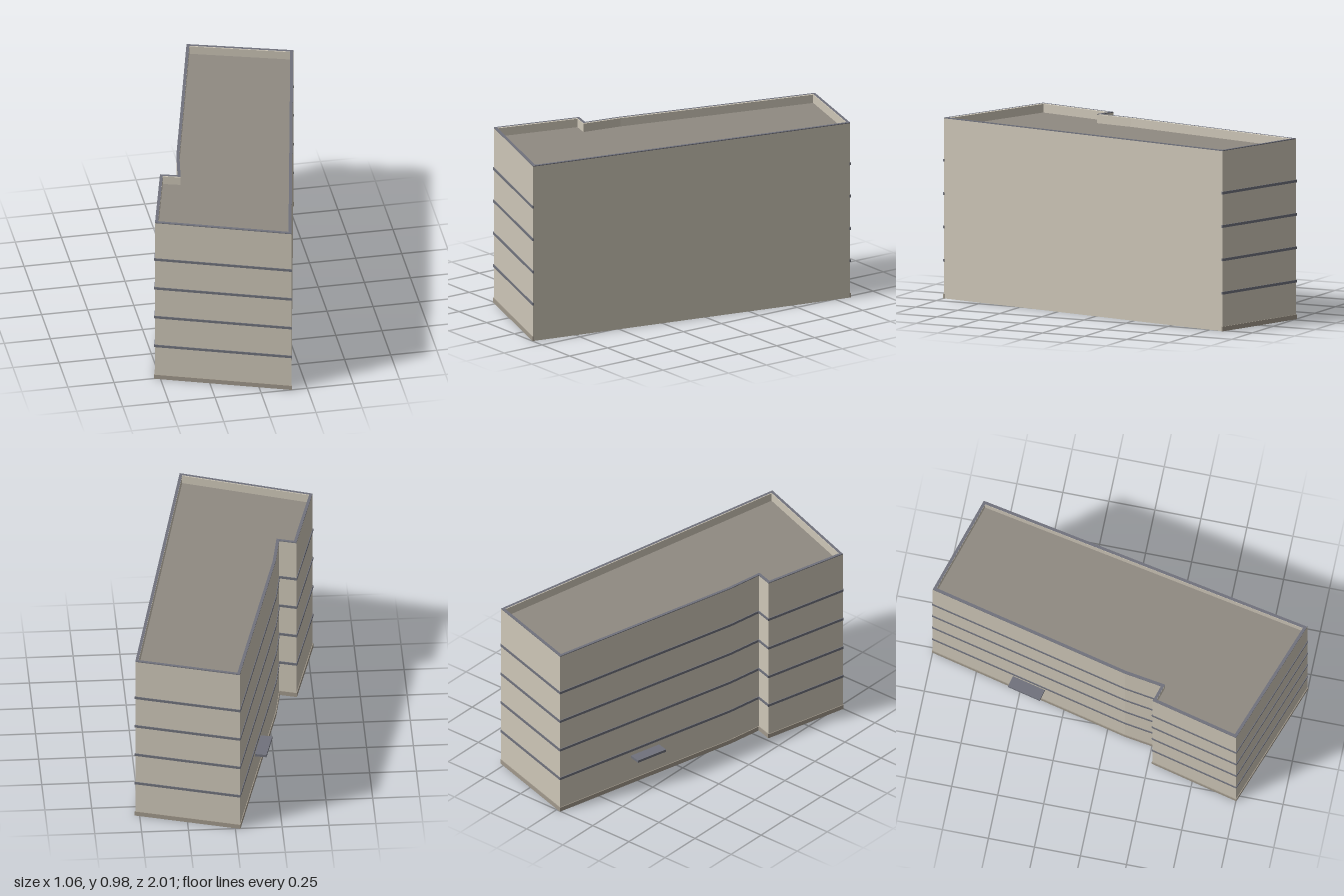
import * as THREE from 'three';

const material = (name, color, side = THREE.FrontSide) => {
  const m = new THREE.MeshStandardMaterial({ color, side });
  m.name = name;
  return m;
};

// Footprint corners as [x, z]; edge 1 is the blank party wall, edge 6 holds the entrance
const FOOTPRINT = [
  [-0.024, -1], [0.523, -0.833], [0.165, 0.997], [-0.528, 0.75],
  [-0.41, 0.273], [-0.32, 0.3], [-0.288, 0.098],
];
const PARTY_EDGE = 1, ENTRANCE_EDGE = 6;
const ROOF_Y = 0.925, TOP_Y = 0.975, FLOOR = 0.18, PLINTH = 0.025;

// Move every edge of the outline inwards and intersect neighbouring edges
function inset(points, amount) {
  const n = points.length;
  const normal = (a, b) => {
    const dx = b[0] - a[0], dz = b[1] - a[1], l = Math.hypot(dx, dz);
    return [-dz / l, dx / l];
  };
  return points.map((p, i) => {
    const u = normal(points[(i + n - 1) % n], p);
    const v = normal(p, points[(i + 1) % n]);
    const k = amount / (1 + u[0] * v[0] + u[1] * v[1]);
    return [p[0] + (u[0] + v[0]) * k, p[1] + (u[1] + v[1]) * k];
  });
}

const outline = (points) => points.map(([x, z]) => new THREE.Vector2(x, -z));

export function createModel() {
  const model = new THREE.Group();
  model.name = 'apartmentBlock';

  const wall = material('cream plaster', 0xcec7b8, THREE.DoubleSide);
  const trim = material('slate trim', 0x70727c);
  const stone = material('plinth stone', 0xa1998c);
  const roofing = material('roof felt', 0x908a82, THREE.DoubleSide);
  const glass = material('window glass', 0x4a627c);

  const add = (parent, name, geometry, mat, x = 0, y = 0, z = 0) => {
    const mesh = new THREE.Mesh(geometry, mat);
    mesh.name = name;
    mesh.position.set(x, y, z);
    parent.add(mesh);
    return mesh;
  };

  // Windows and door stand just inside the wall: plain sides, glazed faces
  const glazed = [wall, wall, wall, wall, glass, glass];
  const windowGeometry = new THREE.BoxGeometry(0.09, 0.095, 0.018);
  const doorGeometry = new THREE.BoxGeometry(0.09, 0.15, 0.018);

  // Facades, each in a frame whose +z points outwards
  FOOTPRINT.forEach((a, e) => {
    const b = FOOTPRINT[(e + 1) % FOOTPRINT.length];
    const dx = b[0] - a[0], dz = b[1] - a[1], length = Math.hypot(dx, dz);
    const facade = new THREE.Group();
    facade.name = e === PARTY_EDGE ? 'partyWall' : 'facade' + e;
    facade.position.set((a[0] + b[0]) / 2, 0, (a[1] + b[1]) / 2);
    facade.rotation.y = Math.atan2(dz, -dx);
    model.add(facade);

    add(facade, 'wall', new THREE.PlaneGeometry(length, ROOF_Y), wall, 0, ROOF_Y / 2);
    if (e === PARTY_EDGE) return;

    // Plinth and floor bands
    add(facade, 'plinth', new THREE.BoxGeometry(length + 0.005, PLINTH, 0.008), stone, 0, PLINTH / 2);
    const band = new THREE.BoxGeometry(length + 0.005, 0.014, 0.008);
    for (let f = 1; f <= 4; f++) add(facade, 'floorBand', band, trim, 0, PLINTH + f * FLOOR, 0);

    // Regular window grid, with the door taking one ground floor bay
    const columns = length < 0.15 ? 0 : Math.round(length / 0.18);
    for (let c = 0; c < columns; c++) {
      const x = length * (0.5 - (c + 0.5) / columns);
      for (let f = 0; f < 5; f++) {
        if (e === ENTRANCE_EDGE && c === 3 && f === 0) {
          add(facade, 'door', doorGeometry, glazed, x, 0.08, -0.012);
        } else {
          add(facade, 'window', windowGeometry, glazed, x, 0.115 + f * FLOOR, -0.012);
        }
      }
    }
    if (e === ENTRANCE_EDGE) {
      add(facade, 'entranceCanopy', new THREE.BoxGeometry(0.187, 0.014, 0.066), trim, 0, 0.165, 0.03);
    }
  });

  // Flat roof
  const roof = new THREE.ShapeGeometry(new THREE.Shape(outline(FOOTPRINT)));
  roof.rotateX(-Math.PI / 2);
  add(model, 'roof', roof, roofing, 0, ROOF_Y, 0);

  // Parapet ring with a dark coping on top
  const ring = new THREE.Shape(outline(FOOTPRINT));
  ring.holes.push(new THREE.Path(outline(inset(FOOTPRINT, 0.016))));
  const extrudeRing = (depth) =>
    new THREE.ExtrudeGeometry(ring, { depth, bevelEnabled: false }).rotateX(-Math.PI / 2);
  add(model, 'parapet', extrudeRing(TOP_Y - ROOF_Y - 0.004), wall, 0, ROOF_Y, 0);
  add(model, 'coping', extrudeRing(0.004), trim, 0, TOP_Y - 0.004, 0);

  return model;
}
